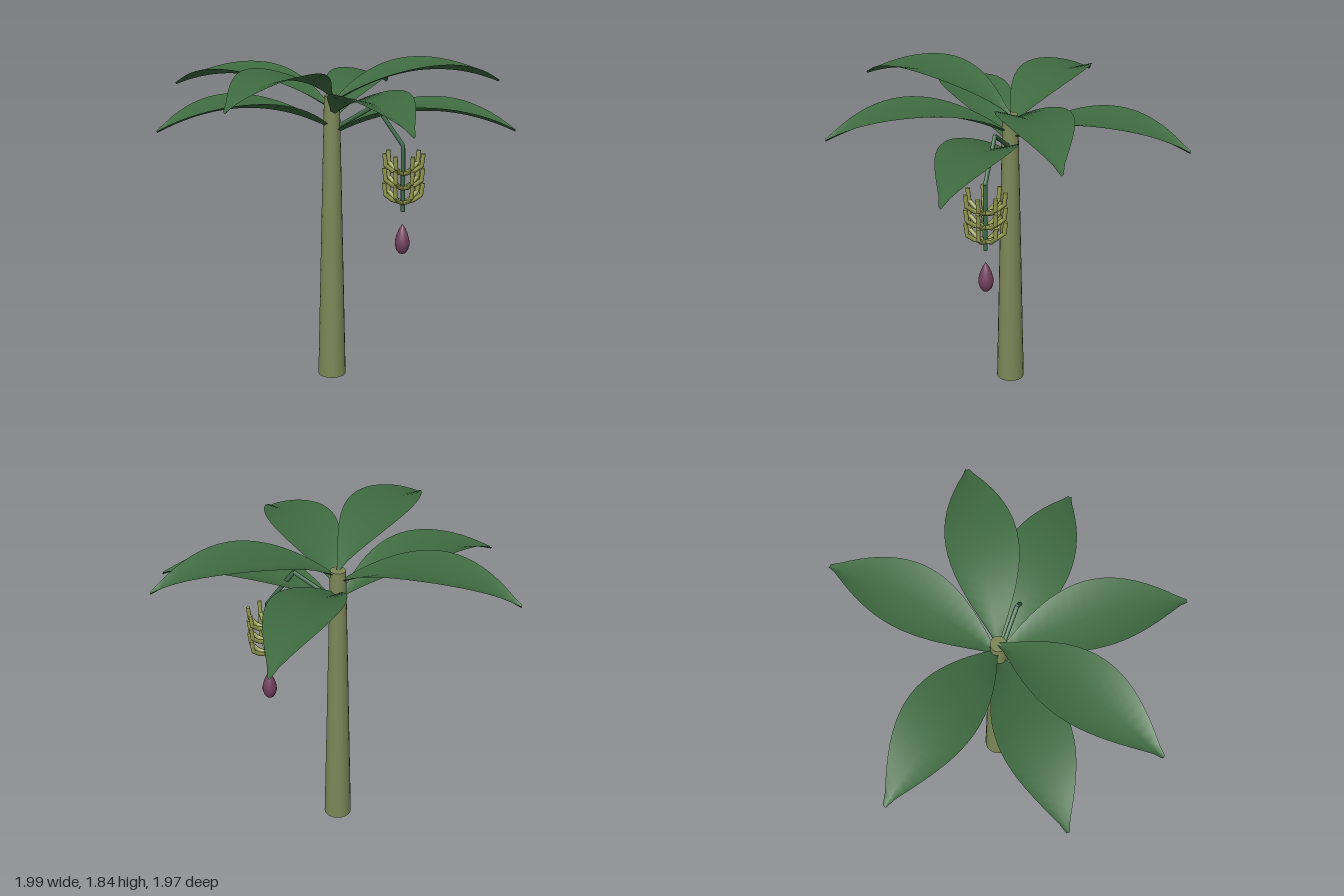
import * as THREE from 'three';

const CX = -0.015, CZ = 0.018; // axis of the plant

function material(name, color, side = THREE.FrontSide) {
  const m = new THREE.MeshStandardMaterial({ color, side });
  m.name = name;
  return m;
}

// Chain of capped cylinders through a list of points
function rods(name, points, radius, sides, mat) {
  const group = new THREE.Group();
  group.name = name;
  for (let i = 0; i < points.length - 1; i++) {
    const a = points[i], dir = points[i + 1].clone().sub(a);
    const mesh = new THREE.Mesh(new THREE.CylinderGeometry(radius, radius, dir.length() + radius * 0.4, sides), mat);
    mesh.position.copy(a).addScaledVector(dir, 0.5);
    mesh.quaternion.setFromUnitVectors(new THREE.Vector3(0, 1, 0), dir.normalize());
    mesh.name = name + 'Segment';
    group.add(mesh);
  }
  return group;
}

// Arching blade along +x, folded upwards along its midrib
function leafGeometry() {
  const N = 20, pos = [], index = [];
  for (let i = 0; i <= N; i++) {
    const u = i / N;
    const w = Math.max(Math.sin(Math.PI * u), 0.05);
    const y = 0.57 * u - 0.495 * u * u;
    const lift = 0.05 * Math.sqrt(w);
    pos.push(u, y + lift, -0.185 * w, u, y, 0, u, y + lift, 0.185 * w);
    if (i === N) break;
    for (let j = 0; j < 2; j++) {
      const a = i * 3 + j, b = a + 1, c = a + 3, d = a + 4;
      index.push(a, b, c, b, d, c);
    }
  }
  const g = new THREE.BufferGeometry();
  g.setAttribute('position', new THREE.Float32BufferAttribute(pos, 3));
  g.setIndex(index);
  g.computeVertexNormals();
  return g;
}

export function createModel() {
  const model = new THREE.Group();
  model.name = 'bananaPlant';
  const trunkMat = material('trunkGreen', 0x7c8757);
  const leafMat = material('leafGreen', 0x3f6b41, THREE.DoubleSide);
  const stalkMat = material('stalkGreen', 0x3f6b4a);
  const fruitMat = material('fruitGreen', 0x929a50);
  const budMat = material('budPurple', 0x713f5c);

  // Tapered trunk
  const trunk = new THREE.Mesh(new THREE.CylinderGeometry(0.043, 0.08, 1.64, 20), trunkMat);
  trunk.name = 'trunk';
  trunk.position.set(CX, 0.82, CZ);
  model.add(trunk);

  // Seven leaves spiralling up by the golden angle
  const blade = leafGeometry();
  for (let i = 0; i < 7; i++) {
    const leaf = new THREE.Mesh(blade, leafMat);
    leaf.name = 'leaf' + (i + 1);
    leaf.position.set(CX, 1.42 + 0.035 * i, CZ);
    leaf.rotation.y = -THREE.MathUtils.degToRad(137.5 * i);
    model.add(leaf);
  }

  // Bent fruit stalk
  const SX = 0.39;
  const path = [[CX, 1.45], [0.23, 1.6], [SX - 0.005, 1.385], [SX, 1.015]];
  model.add(rods('fruitStalk', path.map(([x, y]) => new THREE.Vector3(x, y, CZ)), 0.012, 8, stalkMat));

  // Three tiers of seven upturned fruits
  const curve = [[0.008, 0], [0.06, 0.018], [0.1, 0.05], [0.108, 0.115]];
  for (let tier = 0; tier < 3; tier++) {
    const hand = new THREE.Group();
    hand.name = 'fruitTier' + (tier + 1);
    hand.position.set(SX, 1.065 + 0.082 * tier, CZ);
    for (let k = 0; k < 7; k++) {
      const fruit = rods('fruit', curve.map(([x, y]) => new THREE.Vector3(x, y, 0)), 0.012, 8, fruitMat);
      fruit.rotation.y = (k / 7) * Math.PI * 2;
      hand.add(fruit);
    }
    model.add(hand);
  }

  // Hanging flower bud
  const profile = [[0, 0], [0.018, 0.006], [0.033, 0.025], [0.041, 0.055], [0.04, 0.08], [0.031, 0.115], [0.017, 0.148], [0, 0.175]];
  const bud = new THREE.Mesh(
    new THREE.LatheGeometry(profile.map(([r, y]) => new THREE.Vector2(r, y)), 20), budMat);
  bud.name = 'flowerBud';
  bud.position.set(SX, 0.767, CZ);
  model.add(bud);

  return model;
}
